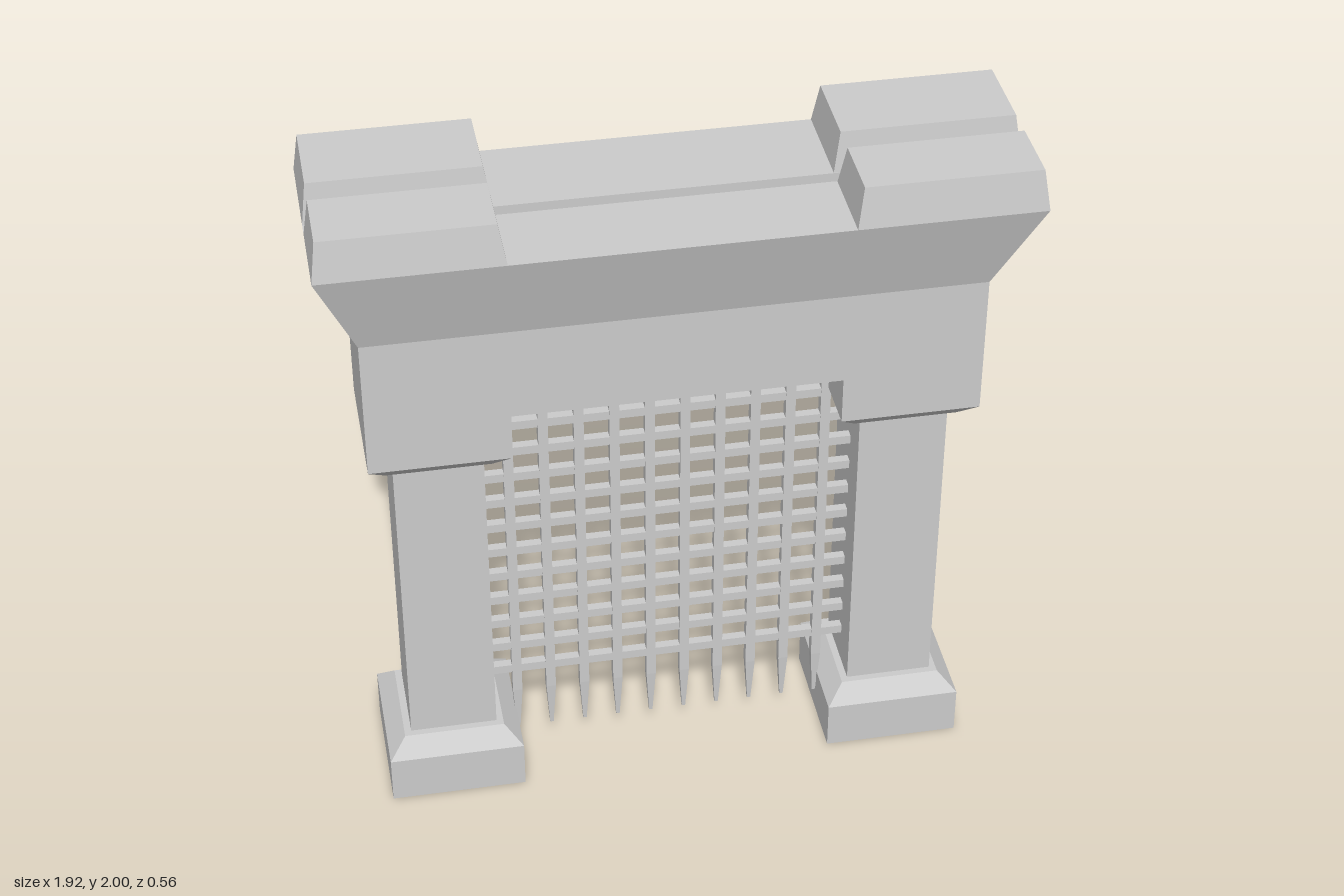
import * as THREE from 'three';

const stone = new THREE.MeshStandardMaterial({ color: 0xcccccc, flatShading: true });
const shell = new THREE.MeshStandardMaterial({ color: 0xcccccc, flatShading: true, side: THREE.DoubleSide });
const inner = new THREE.MeshStandardMaterial({ color: 0xcccccc, flatShading: true, side: THREE.BackSide });

const CX = -0.007; // the pillars, wall and grate share this centre line

// Tapered block from rectangle [x0, x1, z0, z1] at y0 to another at y1
function taper(y0, a, y1, b, capped = true) {
  const geo = new THREE.BoxGeometry(1, 1, 1);
  const p = geo.attributes.position;
  for (let i = 0; i < p.count; i++) {
    const up = p.getY(i) > 0;
    const r = up ? b : a;
    p.setXYZ(i, p.getX(i) < 0 ? r[0] : r[1], up ? y1 : y0, p.getZ(i) < 0 ? r[2] : r[3]);
  }
  if (!capped) {
    const idx = Array.from(geo.index.array);
    idx.splice(12, 12); // leave top and bottom open
    geo.setIndex(idx);
    geo.clearGroups();
  }
  return geo;
}

export function createModel() {
  const model = new THREE.Group();
  model.name = 'gate';
  const add = (parent, name, geo, mat = stone) => {
    const mesh = new THREE.Mesh(geo, mat);
    mesh.name = name;
    parent.add(mesh);
    return mesh;
  };

  // Square pillars: hollow plinth, shaft, chamfered capital
  const profile = [
    [0.195, 0], [0.195, 0.145], [0.145, 0.195], [0.125, 0.195],
    [0.125, 1.155], [0.145, 1.155], [0.195, 1.205], [0.195, 1.345],
  ].map(([h, y]) => new THREE.Vector2(h * Math.SQRT2, y));
  for (const s of [-1, 1]) {
    const pillar = add(model, s > 0 ? 'leftPillar' : 'rightPillar',
      new THREE.LatheGeometry(profile, 4, Math.PI / 4), shell);
    pillar.position.x = CX + s * 0.65;
  }

  // Wall above the opening, and the flare under the parapet
  const wall = [CX - 0.845, CX + 0.845, -0.195, 0.195];
  const rim = [-0.96, 0.96, -0.28, 0.28];
  add(model, 'wall', taper(1.345, wall, 1.62, wall, false));
  add(model, 'flare', taper(1.62, wall, 1.885, rim, false));

  // Underside of the lintel slopes down to the grate from both faces
  const vee = new THREE.Shape([[-0.195, 1.345], [-0.05, 1.255], [0.05, 1.255], [0.195, 1.345]]
    .map(([z, y]) => new THREE.Vector2(z, y)));
  const veeGeo = new THREE.ExtrudeGeometry(vee, { depth: 0.91, bevelEnabled: false });
  veeGeo.rotateY(Math.PI / 2).translate(CX - 0.455, 0, 0);
  add(model, 'lintelUnderside', veeGeo);

  // Roof with the slot the grate is raised through
  const rect = (T, x0, x1, z0, z1) => new T([
    new THREE.Vector2(x0, -z1), new THREE.Vector2(x1, -z1),
    new THREE.Vector2(x1, -z0), new THREE.Vector2(x0, -z0),
  ]);
  const slot = [CX - 0.65, CX + 0.65, 0, 0.04];
  const roof = rect(THREE.Shape, ...rim);
  roof.holes.push(rect(THREE.Path, ...slot));
  add(model, 'roof', new THREE.ShapeGeometry(roof).rotateX(-Math.PI / 2).translate(0, 1.885, 0));
  add(model, 'slot', taper(1.85, slot, 1.885, slot), inner);

  // Four tapered battlements
  const spansX = [[-0.96, -0.463, -0.945, -0.483], [0.447, 0.96, 0.465, 0.943]];
  const spansZ = [[-0.28, -0.002, -0.26, -0.018], [0.042, 0.28, 0.063, 0.26]];
  for (const x of spansX) {
    for (const z of spansZ) {
      add(model, 'battlement',
        taper(1.885, [x[0], x[1], z[0], z[1]], 2, [x[2], x[3], z[2], z[3]]));
    }
  }

  // Portcullis: spiked uprights crossed by level bars
  const grate = new THREE.Group();
  grate.name = 'portcullis';
  grate.position.set(CX, 0, 0.02);
  model.add(grate);
  const w = 0.014, tip = 0.005;
  const full = [-w, w, -w, w], point = [-tip, tip, -tip, tip];
  for (let i = 0; i < 10; i++) {
    const x = (i - 4.5) * 0.0997;
    add(grate, 'upright', taper(0.22, full, 1.32, full)).position.x = x;
    add(grate, 'spike', taper(0.07, point, 0.22, full)).position.x = x;
  }
  for (let i = 0; i < 11; i++) {
    const bar = add(grate, 'crossbar', new THREE.BoxGeometry(1.1, 0.027, 0.026));
    bar.position.y = 0.305 + i * 0.0885;
  }
  return model;
}
